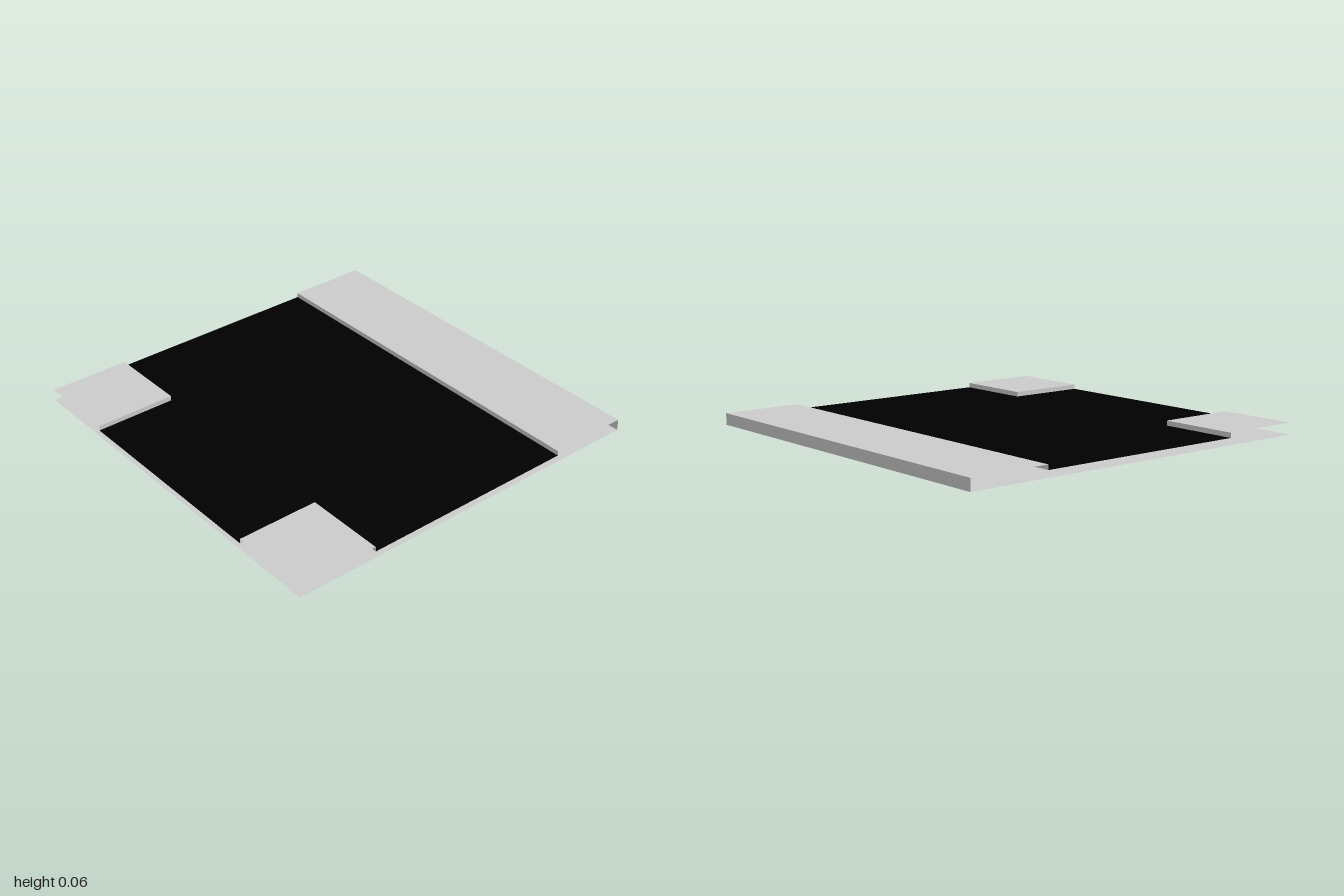
import * as THREE from 'three';

const H = 0.06;     // top of the raised walls
const FLOOR = 0.035; // floor level of the path
const IN = 0.575;   // inner edge of strip and corner blocks

const grey = new THREE.MeshStandardMaterial({ color: 0xcccccc, side: THREE.DoubleSide, flatShading: true });
const black = new THREE.MeshStandardMaterial({ color: 0x000000, side: THREE.DoubleSide, flatShading: true });

function add(parent, name, geometry, material = grey) {
  const mesh = new THREE.Mesh(geometry, material);
  mesh.name = name;
  parent.add(mesh);
}

// Horizontal sheet facing up
function sheet(x0, x1, z0, z1, y) {
  return new THREE.PlaneGeometry(x1 - x0, z1 - z0)
    .rotateX(-Math.PI / 2)
    .translate((x0 + x1) / 2, y, (z0 + z1) / 2);
}

// Upright sheet of given width, turned about y, centred on x, z
function wall(width, y0, y1, x, z, turn) {
  return new THREE.PlaneGeometry(width, y1 - y0)
    .rotateY(turn)
    .translate(x, (y0 + y1) / 2, z);
}

export function createModel() {
  const tile = new THREE.Group();
  tile.name = 'pathTile';

  // Underside
  add(tile, 'base', sheet(-1, 1, -1, 1, 0));

  // T-shaped path floor, open to the left, right and front
  const path = new THREE.Shape([
    [-1, IN], [1, IN], [1, -IN], [IN, -IN], [IN, -1], [-IN, -1], [-IN, -IN], [-1, -IN],
  ].map(([x, y]) => new THREE.Vector2(x, y)));
  add(tile, 'pathFloor', new THREE.ShapeGeometry(path).rotateX(-Math.PI / 2).translate(0, FLOOR, 0), black);

  // Raised strip along the closed back edge
  const strip = new THREE.Group();
  strip.name = 'backStrip';
  add(strip, 'stripTop', sheet(-1, 1, -1, -IN, H));
  add(strip, 'stripInnerWall', wall(2, FLOOR, H, 0, -IN, 0));
  add(strip, 'backWall', wall(2, 0, H, 0, -1, Math.PI));
  tile.add(strip);

  // Raised front corner blocks, open on their outer sides
  const mid = (1 + IN) / 2;
  for (const s of [-1, 1]) {
    const block = new THREE.Group();
    block.name = s > 0 ? 'leftCornerBlock' : 'rightCornerBlock';
    add(block, 'blockTop', sheet(s > 0 ? IN : -1, s > 0 ? 1 : -IN, IN, 1, H));
    add(block, 'blockInnerSide', wall(1 - IN, FLOOR, H, s * IN, mid, -s * Math.PI / 2));
    add(block, 'blockRearSide', wall(1 - IN, FLOOR, H, s * mid, IN, Math.PI));
    tile.add(block);
  }
  return tile;
}
